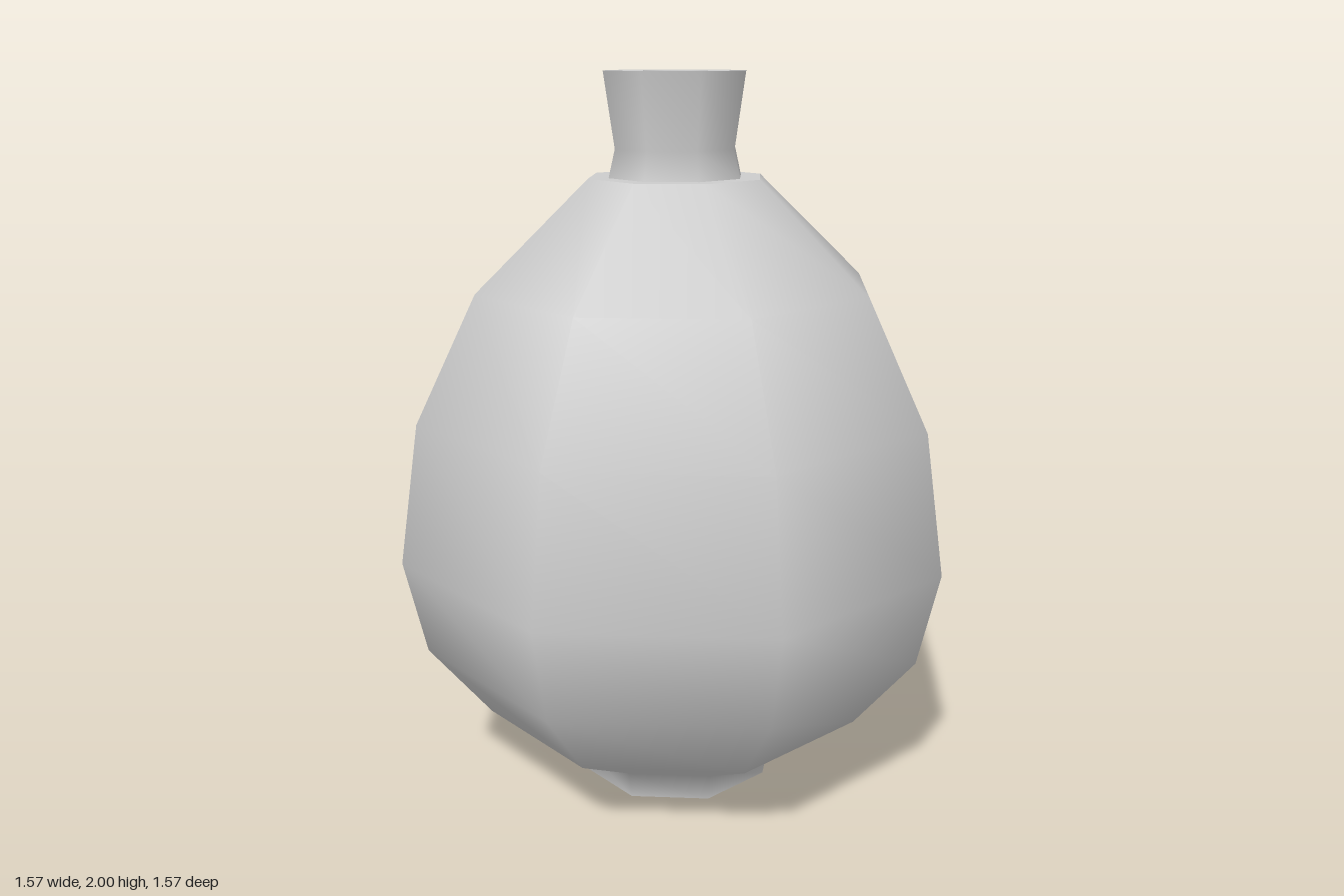
import * as THREE from 'three';

const material = new THREE.MeshStandardMaterial({ color: 0xcccccc });

// One eight-sided turned section; profile of [radius, height] points runs up the outside.
// Separate sections keep the edges between them sharp.
function turned(name, profile) {
  const points = profile.map(([r, y]) => new THREE.Vector2(r, y));
  const mesh = new THREE.Mesh(new THREE.LatheGeometry(points, 8), material);
  mesh.name = name;
  return mesh;
}

export function createModel() {
  const vase = new THREE.Group();
  vase.name = 'vase';
  vase.add(
    // Slightly hollowed underside
    turned('underside', [[0, 0.03], [0.17, 0.025], [0.285, 0]]),
    // Foot ring flowing into the rounded belly
    turned('body', [
      [0.285, 0], [0.3, 0.08], [0.557, 0.23], [0.727, 0.445], [0.785, 0.71],
      [0.727, 1.095], [0.557, 1.435], [0.245, 1.725],
    ]),
    // Flat ledge around the neck
    turned('shoulder', [[0.245, 1.725], [0.188, 1.725]]),
    // Flared neck
    turned('neck', [[0.188, 1.725], [0.17, 1.8], [0.2, 2]]),
    // Flat lip and the hollow mouth
    turned('lip', [[0.2, 2], [0.092, 2]]),
    turned('mouth', [[0.092, 2], [0.075, 1.9], [0, 1.85]]),
  );
  return vase;
}
